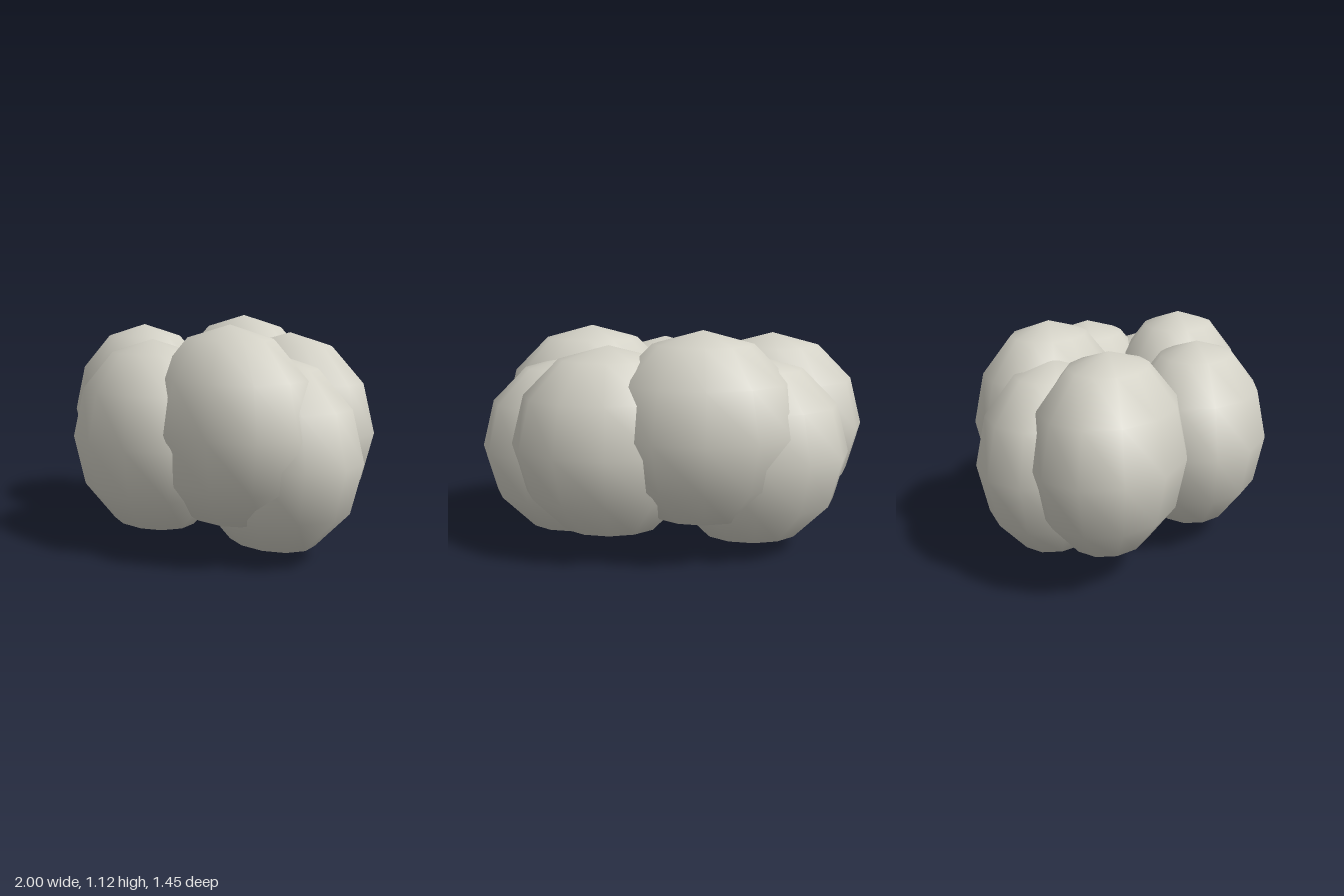
import * as THREE from 'three';

export function createModel() {
  const group = new THREE.Group();
  group.name = 'cloud';

  const stone = new THREE.MeshStandardMaterial({ color: 0xd3d1c6 });
  stone.name = 'pale warm grey';

  // One coarse, smooth-shaded ball, flattened front to back, shared by every puff
  const puff = new THREE.SphereGeometry(0.481, 12, 6);
  puff.scale(1, 1, 0.76);

  // Ring of puffs: name and centre
  const puffs = [
    ['frontPuff', 0.04, 0.54, 0.36],
    ['frontLeftPuff', 0.43, 0.617, 0.19],
    ['leftPuff', 0.519, 0.483, 0],
    ['backLeftPuff', 0.31, 0.565, -0.295],
    ['backPuff', -0.14, 0.643, -0.36],
    ['backRightPuff', -0.39, 0.512, -0.25],
    ['rightPuff', -0.519, 0.591, 0.055],
  ];
  for (const [name, x, y, z] of puffs) {
    const mesh = new THREE.Mesh(puff, stone);
    mesh.name = name;
    mesh.position.set(x, y, z);
    group.add(mesh);
  }
  return group;
}
